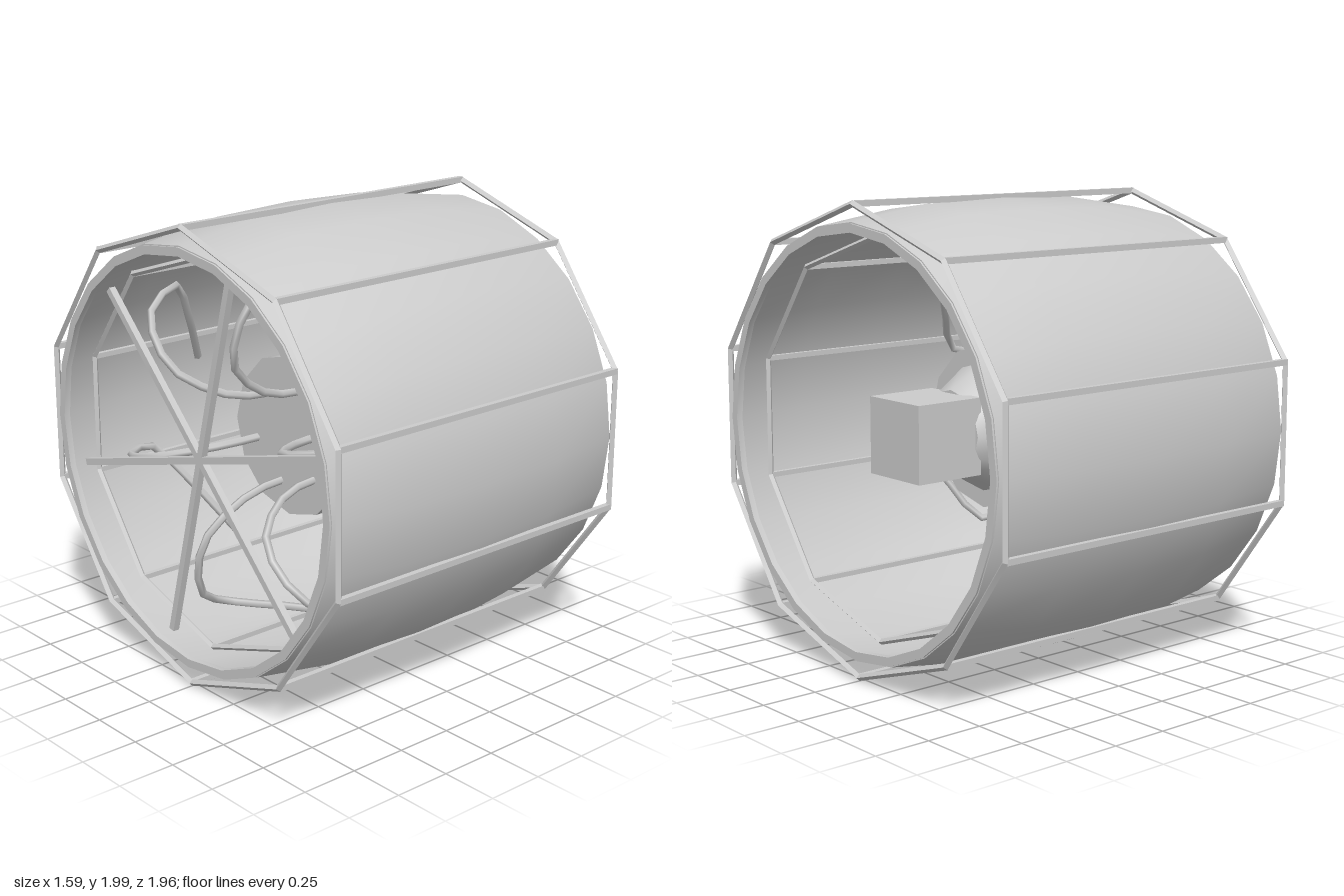
import * as THREE from 'three';
import { toCreasedNormals } from 'three/addons/utils/BufferGeometryUtils.js';

export function createModel() {
  const root = new THREE.Group();
  const wheel = new THREE.Group();
  wheel.name = 'wheel';
  wheel.position.y = 1;
  root.add(wheel);

  const smooth = new THREE.MeshStandardMaterial({ color: 0xcccccc });
  const flat = new THREE.MeshStandardMaterial({ color: 0xcccccc, flatShading: true });

  function add(name, geometry, material = flat, parent = wheel) {
    const mesh = new THREE.Mesh(geometry, material);
    mesh.name = name;
    parent.add(mesh);
    return mesh;
  }
  // Point at distance r from the axle, at angle a in degrees (0 = back, 90 = up)
  function polar(x, r, a) {
    const t = THREE.MathUtils.degToRad(a);
    return new THREE.Vector3(x, r * Math.sin(t), -r * Math.cos(t));
  }
  // Closed [radius, x] profile turned around the x axis
  function turned(profile, sides) {
    const points = [...profile, profile[0]].map(([r, x]) => new THREE.Vector2(r, x));
    const g = new THREE.LatheGeometry(points, sides).rotateZ(-Math.PI / 2);
    return toCreasedNormals(g, 0.6);
  }
  // Square rod between two points
  function rod(name, a, b, width, parent) {
    const d = b.clone().sub(a);
    const mesh = add(name, new THREE.BoxGeometry(width, d.length(), width), flat, parent);
    mesh.position.copy(a).add(b).multiplyScalar(0.5);
    mesh.quaternion.setFromUnitVectors(new THREE.Vector3(0, 1, 0), d.normalize());
  }

  // Barrel-shaped tread: a thin crowned shell
  add('tread', turned([
    [0.91, -0.785], [0.967, -0.4], [0.98, 0], [0.967, 0.4], [0.91, 0.785],
    [0.885, 0.785], [0.935, 0.4], [0.95, 0], [0.935, -0.4], [0.885, -0.785],
  ], 24), smooth);

  // Rim lips at both ends
  for (const s of [-1, 1]) {
    const lo = Math.min(s * 0.765, s * 0.793), hi = Math.max(s * 0.765, s * 0.793);
    add('rimLip', turned([[0.905, lo], [0.905, hi], [0.868, hi], [0.868, lo]], 24), smooth);
  }

  // Ten-sided cages outside and inside the tread
  function cage(name, radius, halfLength, width) {
    const group = new THREE.Group();
    group.name = name;
    wheel.add(group);
    for (const s of [-1, 1]) {
      const ring = new THREE.TorusGeometry(radius, width * 0.6, 4, 10);
      add('cageRing', ring.rotateZ(Math.PI / 2).rotateY(Math.PI / 2), flat, group)
        .position.x = s * halfLength;
    }
    for (let i = 0; i < 10; i++) {
      const a = 90 + i * 36;
      rod('cageBar', polar(-halfLength, radius, a), polar(halfLength, radius, a), width, group);
    }
  }
  cage('outerCage', 0.982, 0.775, 0.025);
  cage('innerCage', 0.85, 0.66, 0.022);

  // Hub with a tapered nose, and the square drive block on it
  add('hub', turned([
    [0.001, -0.23], [0.355, -0.23], [0.355, 0.1], [0.28, 0.1], [0.18, 0.28], [0.001, 0.28],
  ], 12), smooth);
  add('driveBlock', new THREE.BoxGeometry(0.33, 0.33, 0.33)).position.x = 0.415;

  // Three crossing bars make six spokes
  for (let i = 0; i < 3; i++) {
    const a = 45 + i * 60;
    rod('spokeBar', polar(-0.7, 0.86, a), polar(-0.7, 0.86, a + 180), 0.03);
  }

  // Bent springs from the hub out to the tread, hooking sideways at the tip
  for (let i = 0; i < 6; i++) {
    const a = 45 + i * 60;
    const path = new THREE.CatmullRomCurve3([
      polar(-0.21, 0.22, a), polar(-0.4, 0.25, a), polar(-0.61, 0.43, a),
      polar(-0.58, 0.7, a), polar(-0.38, 0.82, a),
      polar(-0.24, 0.785, a - 15), polar(-0.1, 0.82, a - 34),
    ], false, 'centripetal');
    add('springSpoke', new THREE.TubeGeometry(path, 14, 0.018, 5), smooth);
  }
  return root;
}
